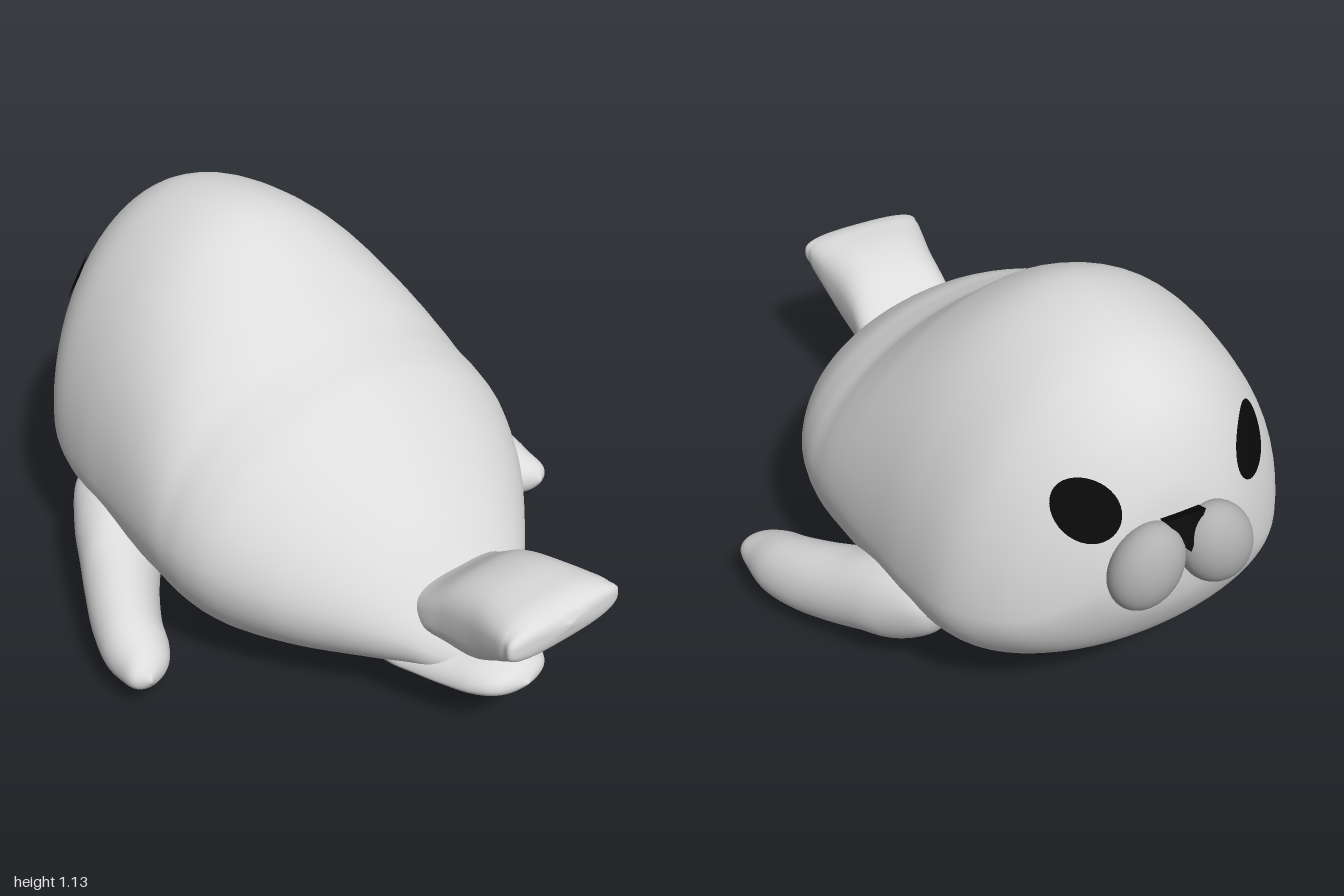
import * as THREE from 'three';
import { mergeVertices } from 'three/addons/utils/BufferGeometryUtils.js';

// Smooth interpolation of stations [x, bottom, mid, top, halfWidth, zCentre]
function makeSampler(stations) {
  const curve = (a, b, c) => new THREE.CatmullRomCurve3(
    stations.map((s) => new THREE.Vector3(s[a], s[b], s[c] ?? 0)), false, 'catmullrom', 0.5);
  const c1 = curve(0, 1, 3), c2 = curve(2, 4, 5);
  return (t) => {
    const p = c1.getPoint(t), q = c2.getPoint(t);
    return { x: p.x, bottom: p.y, top: p.z, mid: q.x, width: Math.max(0, q.y), zc: q.z };
  };
}

// Skin of rounded cross-sections along x; power sets how boxy each half is
function loft(stations, powTop = 2, powBottom = 2, rows = 64, cols = 48) {
  const at = makeSampler(stations), pos = [], idx = [];
  for (let i = 0; i <= rows; i++) {
    const s = at(i / rows);
    for (let j = 0; j < cols; j++) {
      const a = (j / cols) * Math.PI * 2, c = Math.cos(a), n = Math.sin(a);
      const e = 2 / (n >= 0 ? powTop : powBottom);
      const h = n >= 0 ? s.top - s.mid : s.mid - s.bottom;
      pos.push(s.x,
        s.mid + h * Math.sign(n) * Math.abs(n) ** e,
        s.zc + s.width * Math.sign(c) * Math.abs(c) ** e);
      if (i < rows) {
        const k = (j + 1) % cols, r = i * cols, q = r + cols;
        idx.push(r + j, q + j, r + k, q + j, q + k, r + k);
      }
    }
  }
  let g = new THREE.BufferGeometry();
  g.setAttribute('position', new THREE.Float32BufferAttribute(pos, 3));
  g.setIndex(idx);
  g = mergeVertices(g, 1e-5);
  g.computeVertexNormals();
  return g;
}

const BODY = [
  [-0.915, 0.6, 0.6, 0.6, 0], [-0.905, 0.5, 0.59, 0.72, 0.14], [-0.88, 0.41, 0.55, 0.84, 0.23],
  [-0.82, 0.3, 0.48, 0.965, 0.34], [-0.74, 0.21, 0.45, 1.045, 0.43], [-0.62, 0.12, 0.43, 1.105, 0.505],
  [-0.45, 0.06, 0.42, 1.13, 0.54], [-0.3, 0.03, 0.42, 1.11, 0.555], [-0.15, 0.02, 0.42, 1.03, 0.57],
  [-0.05, 0.012, 0.42, 0.945, 0.577], [0.02, 0.006, 0.41, 0.885, 0.577], [0.1, 0.004, 0.41, 0.845, 0.57],
  [0.2, 0.025, 0.4, 0.8, 0.54], [0.35, 0.07, 0.37, 0.69, 0.455], [0.5, 0.115, 0.33, 0.55, 0.33],
  [0.6, 0.14, 0.29, 0.43, 0.23], [0.7, 0.155, 0.23, 0.31, 0.12], [0.76, 0.21, 0.22, 0.23, 0],
];
const POW_TOP = 1.85;

// x of the front of the body at a given y and z
function faceX(y, z) {
  const at = makeSampler(BODY);
  let out = 0, inside = 6 / (BODY.length - 1);
  for (let i = 0; i < 24; i++) {
    const t = (out + inside) / 2, s = at(t), up = y >= s.mid;
    const h = Math.max(1e-6, up ? s.top - s.mid : s.mid - s.bottom), p = up ? POW_TOP : 2;
    const d = (Math.abs(y - s.mid) / h) ** p + (Math.abs(z) / Math.max(1e-6, s.width)) ** p;
    if (d < 1) inside = t; else out = t;
  }
  return at(inside).x;
}

// Thin oval laid on the face
function facePatch(y, z, ry, rz) {
  const g = new THREE.RingGeometry(0, 1, 36, 4), p = g.attributes.position;
  for (let i = 0; i < p.count; i++) {
    const pz = z + p.getX(i) * rz, py = y + p.getY(i) * ry;
    p.setXYZ(i, faceX(py, pz) - 0.011, py, pz);
  }
  g.computeVertexNormals();
  return g;
}

export function createModel() {
  const model = new THREE.Group();
  const mat = (name, color) => {
    const m = new THREE.MeshStandardMaterial({ color });
    m.name = name;
    return m;
  };
  const fur = mat('pale grey fur', 0xdcdcdc);
  const muzzle = mat('muzzle grey', 0xb0b0b0);
  const black = mat('black', 0x0a0a0a);
  const add = (name, geometry, material) => {
    const m = new THREE.Mesh(geometry, material);
    m.name = name;
    model.add(m);
    return m;
  };

  // Head and body in one skin
  add('body', loft(BODY, POW_TOP, 2, 110, 72), fur);

  // Raised upper tail fluke and the flatter one below it
  add('upperTailFluke', loft([
    [0.5, 0.3, 0.35, 0.4, 0.13], [0.6, 0.285, 0.36, 0.445, 0.165], [0.7, 0.28, 0.4, 0.52, 0.165],
    [0.8, 0.3, 0.43, 0.555, 0.17], [0.9, 0.375, 0.47, 0.563, 0.185], [0.95, 0.415, 0.49, 0.558, 0.19],
    [0.985, 0.45, 0.5, 0.54, 0.175], [1.0, 0.5, 0.505, 0.51, 0],
  ], 2.8, 2.8), fur);
  add('lowerTailFluke', loft([
    [0.45, 0.13, 0.22, 0.3, 0.24], [0.55, 0.135, 0.2, 0.29, 0.22], [0.62, 0.14, 0.19, 0.285, 0.19],
    [0.7, 0.142, 0.19, 0.28, 0.16], [0.78, 0.15, 0.2, 0.272, 0.13], [0.84, 0.175, 0.21, 0.25, 0.085],
    [0.87, 0.21, 0.212, 0.215, 0],
  ]), fur);

  // Side flippers, swept back and outward
  for (const [name, s] of [['leftFlipper', 1], ['rightFlipper', -1]]) {
    add(name, loft([
      [-0.54, 0.3, 0.3, 0.3, 0, 0.46], [-0.5, 0.22, 0.3, 0.36, 0.06, 0.47],
      [-0.4, 0.13, 0.25, 0.375, 0.115, 0.485], [-0.3, 0.09, 0.22, 0.36, 0.135, 0.515],
      [-0.2, 0.06, 0.19, 0.32, 0.13, 0.57], [-0.1, 0.045, 0.16, 0.285, 0.115, 0.63],
      [0, 0.04, 0.14, 0.25, 0.1, 0.675], [0.08, 0.06, 0.13, 0.215, 0.085, 0.693],
      [0.14, 0.09, 0.135, 0.18, 0.058, 0.715], [0.17, 0.13, 0.135, 0.14, 0, 0.73],
    ].map((r) => [...r.slice(0, 5), r[5] * s])), fur);
  }

  // Muzzle: two soft cheeks with a small triangular nose between them
  for (const [name, s] of [['leftCheek', 1], ['rightCheek', -1]]) {
    const cheek = add(name, new THREE.SphereGeometry(1, 36, 24), muzzle);
    cheek.scale.set(0.078, 0.125, 0.1);
    cheek.position.set(-0.922, 0.635, 0.012 + s * 0.1);
    cheek.rotation.x = -s * 0.35;
  }
  const nose = add('nose', new THREE.CylinderGeometry(0.065, 0.065, 0.05, 3)
    .rotateX(Math.PI / 2).rotateY(Math.PI / 2), black);
  nose.position.set(-0.917, 0.722, 0.015);
  nose.rotation.z = -0.35;

  // Eyes
  add('leftEye', facePatch(0.8, 0.28, 0.08, 0.07), black);
  add('rightEye', facePatch(0.8, -0.215, 0.08, 0.075), black);

  return model;
}
